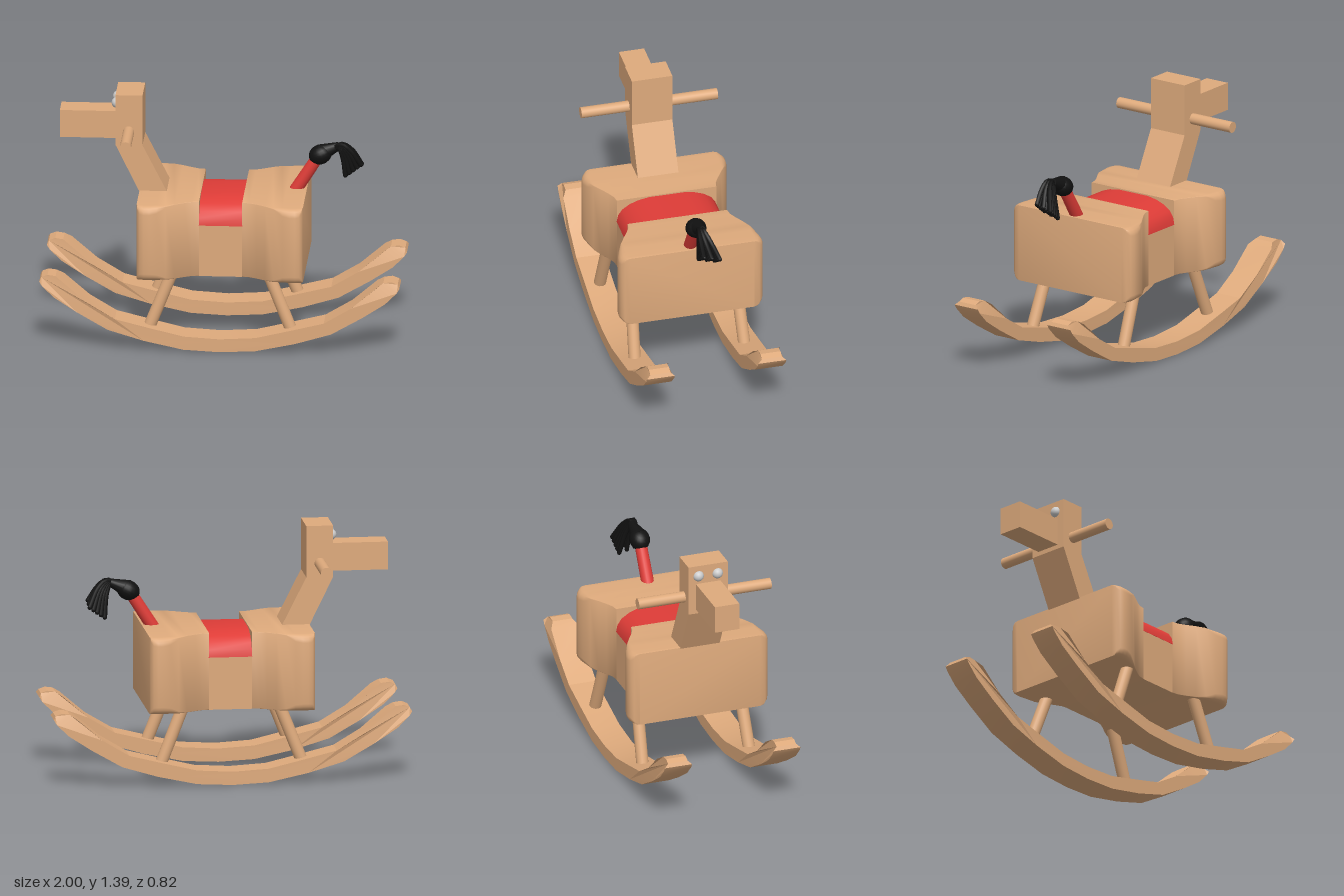
import * as THREE from 'three';
import { toCreasedNormals } from 'three/addons/utils/BufferGeometryUtils.js';

const wood = new THREE.MeshStandardMaterial({ color: 0xdeaa7c });
const red = new THREE.MeshStandardMaterial({ color: 0xde3c37 });
const black = new THREE.MeshStandardMaterial({ color: 0x111111 });
const grey = new THREE.MeshStandardMaterial({ color: 0xcccccc });
const V = (x, y, z) => new THREE.Vector3(x, y, z);

function add(parent, name, geometry, material, x = 0, y = 0, z = 0) {
  const mesh = new THREE.Mesh(geometry, material);
  mesh.name = name;
  mesh.position.set(x, y, z);
  parent.add(mesh);
  return mesh;
}

// Round bar between two points
function rod(parent, name, a, b, r0, r1, material, sides = 20) {
  const mesh = add(parent, name, new THREE.CylinderGeometry(r1, r0, a.distanceTo(b), sides), material);
  mesh.position.copy(a).add(b).multiplyScalar(0.5);
  mesh.quaternion.setFromUnitVectors(V(0, 1, 0), b.clone().sub(a).normalize());
  return mesh;
}

// Outline in x-y, extruded symmetrically in z
function slab(points, depth) {
  const shape = new THREE.Shape(points.map(p => new THREE.Vector2(...p)));
  return new THREE.ExtrudeGeometry(shape, { depth, bevelEnabled: false }).translate(0, 0, -depth / 2);
}

// Cross-section of the body: a box whose long edges round off where it flares
function bodySection(x, w) {
  const bottom = 0.41, top = 0.845, r = Math.max(0.003, Math.min(0.045, w - 0.36)), ring = [];
  const corners = [[-1, bottom + r, -90], [-1, top - r, 180], [1, top - r, 90], [1, bottom + r, 0]];
  for (const [side, y, start] of corners) {
    for (let k = 0; k <= 4; k++) {
      const a = THREE.MathUtils.degToRad(start - k * 22.5);
      ring.push(V(x, y + r * Math.sin(a), side * (w - r) + r * Math.cos(a)));
    }
  }
  return ring;
}

// Skin over cross-sections ordered along +x, capped at both ends
function loft(rings) {
  const out = [], n = rings[0].length;
  const tri = (...pts) => pts.forEach(p => out.push(p.x, p.y, p.z));
  for (let i = 0; i < rings.length - 1; i++) {
    for (let j = 0; j < n; j++) {
      const k = (j + 1) % n;
      tri(rings[i][j], rings[i][k], rings[i + 1][k]);
      tri(rings[i][j], rings[i + 1][k], rings[i + 1][j]);
    }
  }
  const first = rings[0], last = rings[rings.length - 1];
  for (let j = 1; j < n - 1; j++) {
    tri(first[0], first[j + 1], first[j]);
    tri(last[0], last[j], last[j + 1]);
  }
  const g = new THREE.BufferGeometry();
  g.setAttribute('position', new THREE.Float32BufferAttribute(out, 3));
  return toCreasedNormals(g, 0.7);
}

function rockerGeometry() {
  const lower = [[0, 0.005], [0.2, 0.015], [0.42, 0.062], [0.62, 0.122], [0.79, 0.22], [0.92, 0.305], [0.985, 0.37], [1, 0.395]];
  const upper = [[0.99, 0.415], [0.955, 0.428], [0.91, 0.422], [0.87, 0.395], [0.73, 0.275], [0.58, 0.185], [0.4, 0.14], [0.2, 0.092], [0, 0.08]];
  const half = [...lower, ...upper];
  const mirrored = half.slice(1, -1).reverse().map(([x, y]) => [-x, y]);
  const g = slab([...half, ...mirrored], 0.16);
  // Soften the upper corners of both tips
  const p = g.attributes.position;
  for (let i = 0; i < p.count; i++) {
    if (p.getY(i) > 0.41) p.setZ(i, p.getZ(i) * 0.72);
  }
  return toCreasedNormals(g, 0.25);
}

export function createModel() {
  const model = new THREE.Group();
  model.name = 'rockingHorse';

  // Body: flared chest and rump with a lower waist between them
  const flare = [[0.12, 0.285], [0.16, 0.292], [0.2, 0.312], [0.25, 0.342], [0.3, 0.373], [0.35, 0.398],
    [0.39, 0.41], [0.42, 0.411], [0.443, 0.402], [0.457, 0.385], [0.462, 0.355]];
  add(model, 'rump', loft(flare.map(([x, w]) => bodySection(x, w))), wood);
  add(model, 'chest', loft([...flare].reverse().map(([x, w]) => bodySection(-x, w))), wood);
  add(model, 'waist', new THREE.BoxGeometry(0.24, 0.295, 0.57), wood, 0, 0.5575, 0);

  // Saddle arched over the waist
  const arch = [[0.286, 0.705], [0.278, 0.745], [0.255, 0.78], [0.21, 0.81], [0.16, 0.828], [0.1, 0.838]];
  const saddle = slab([...arch, ...[...arch].reverse().map(([x, y]) => [-x, y])], 0.245);
  add(model, 'saddle', toCreasedNormals(saddle, 0.6), red).rotation.y = Math.PI / 2;

  // Neck, head and handle
  add(model, 'neckAndHead', slab([[-0.595, 1.4], [-0.595, 1.11], [-0.46, 0.835], [-0.305, 0.835],
    [-0.445, 1.11], [-0.445, 1.4]], 0.232), wood);
  add(model, 'snout', new THREE.BoxGeometry(0.32, 0.157, 0.144), wood, -0.747, 1.213, 0);
  add(model, 'handle', new THREE.CylinderGeometry(0.031, 0.031, 0.78, 24), wood, -0.522, 1.188, 0).rotation.x = Math.PI / 2;

  // Eyes, rockers and legs on both sides
  const rocker = rockerGeometry();
  for (const s of [-1, 1]) {
    add(model, 'eye', new THREE.SphereGeometry(0.031, 20, 14), grey, -0.59, 1.338, s * 0.056);
    add(model, 'rocker', rocker, wood, 0, 0, s * 0.319);
    for (const e of [-1, 1]) {
      rod(model, 'leg', V(e * 0.405, 0.09, s * 0.315), V(e * 0.262, 0.45, s * 0.3), 0.034, 0.034, wood);
    }
  }

  // Tail: red stem, black knot and a drooping brush of strands
  const tail = new THREE.Group();
  tail.name = 'tail';
  model.add(tail);
  rod(tail, 'tailStem', V(0.385, 0.81, 0), V(0.515, 1.015, 0), 0.036, 0.034, red);
  const knot = add(tail, 'tailKnot', new THREE.SphereGeometry(0.058, 18, 12), black, 0.535, 1.04, 0);
  knot.scale.set(1.15, 0.95, 1);
  knot.rotation.z = 0.45;
  rod(tail, 'tailBend', V(0.54, 1.05, 0), V(0.64, 1.09, -0.01), 0.05, 0.022, black, 12);
  for (let i = 0; i < 15; i++) {
    const u = (i % 5) / 4, row = Math.floor(i / 5) - 1;
    const end = V(0.675 + 0.085 * u, 0.915 + 0.06 * u + 0.012 * row, -0.025 + row * 0.045 - 0.01 * u);
    const path = new THREE.CatmullRomCurve3([V(0.58, 1.07, 0), V(0.635 + 0.02 * u, 1.085 + 0.015 * u, row * 0.012),
      V(0.66 + 0.045 * u, 1.03 + 0.035 * u, -0.01 + row * 0.025), end]);
    add(tail, 'tailStrand', new THREE.TubeGeometry(path, 10, 0.013, 6), black);
    add(tail, 'strandTip', new THREE.SphereGeometry(0.013, 6, 4), black, end.x, end.y, end.z);
  }
  return model;
}
